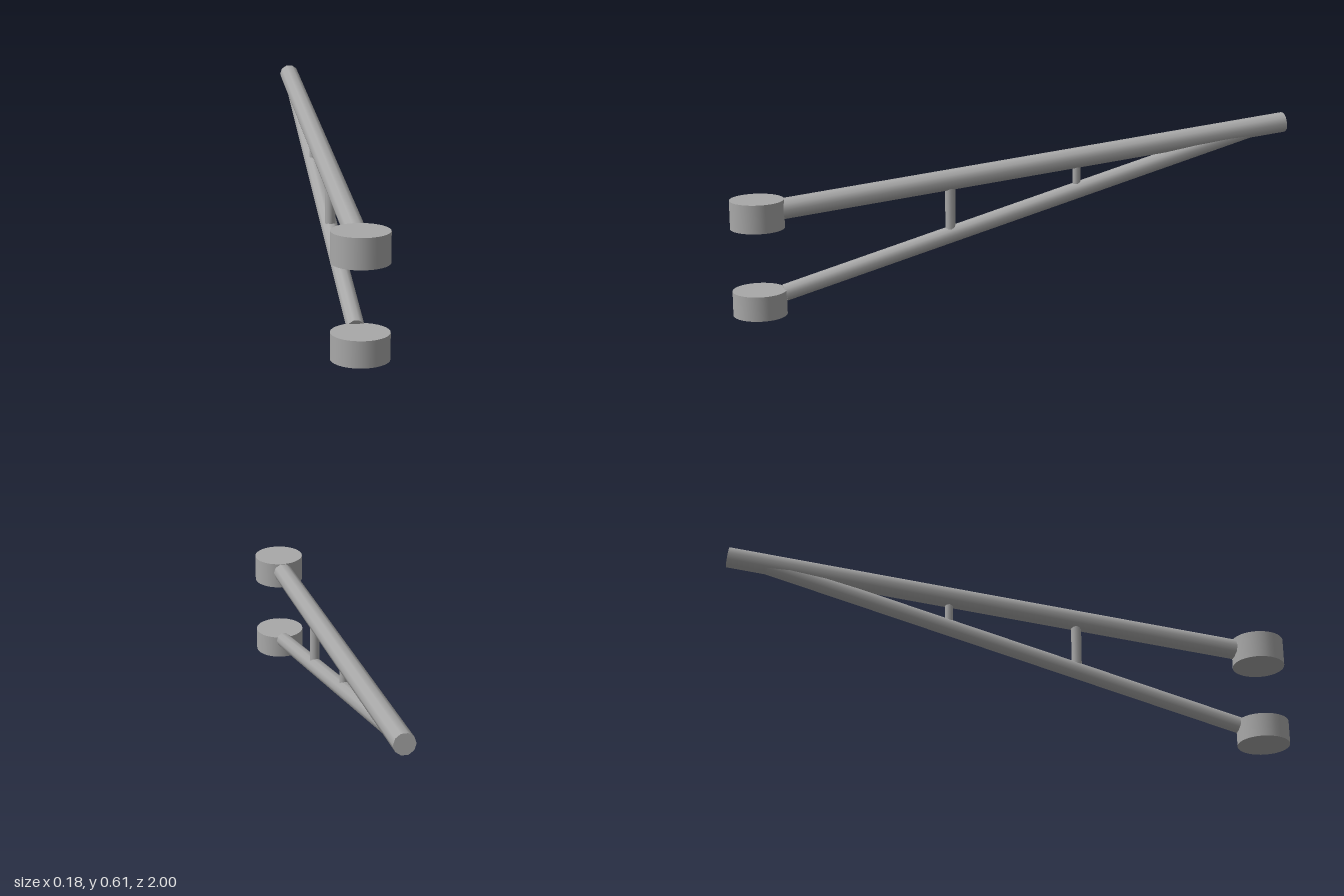
import * as THREE from 'three';

export function createModel() {
  const model = new THREE.Group();
  const steel = new THREE.MeshStandardMaterial({ color: 0xa8a8a8 });
  steel.name = 'grey metal';

  // round bar between two (y, z) points on the centre plane
  function bar(name, radius, sides, [y0, z0], [y1, z1]) {
    const a = new THREE.Vector3(0, y0, z0);
    const b = new THREE.Vector3(0, y1, z1);
    const geometry = new THREE.CylinderGeometry(
      radius, radius, a.distanceTo(b), sides, 1, false, Math.PI / 2);
    const mesh = new THREE.Mesh(geometry, steel);
    mesh.name = name;
    mesh.position.copy(a).add(b).multiplyScalar(0.5);
    mesh.quaternion.setFromUnitVectors(
      new THREE.Vector3(0, 1, 0), b.clone().sub(a).normalize());
    model.add(mesh);
  }

  // upright mounting drums at the front
  bar('upperDrum', 0.092, 32, [0.303, 0.908], [0.401, 0.908]);
  bar('lowerDrum', 0.092, 32, [0, 0.908], [0.085, 0.908]);

  // two sloping tubes that meet at the back
  bar('upperTube', 0.036, 10, [0.364, 0.825], [0.576, -0.996]);
  bar('lowerTube', 0.029, 10, [0.07, 0.822], [0.57, -0.92]);

  // upright struts between the tubes
  bar('frontStrut', 0.018, 10, [0.24, 0.241], [0.43, 0.241]);
  bar('rearStrut', 0.014, 10, [0.37, -0.215], [0.48, -0.215]);

  return model;
}
